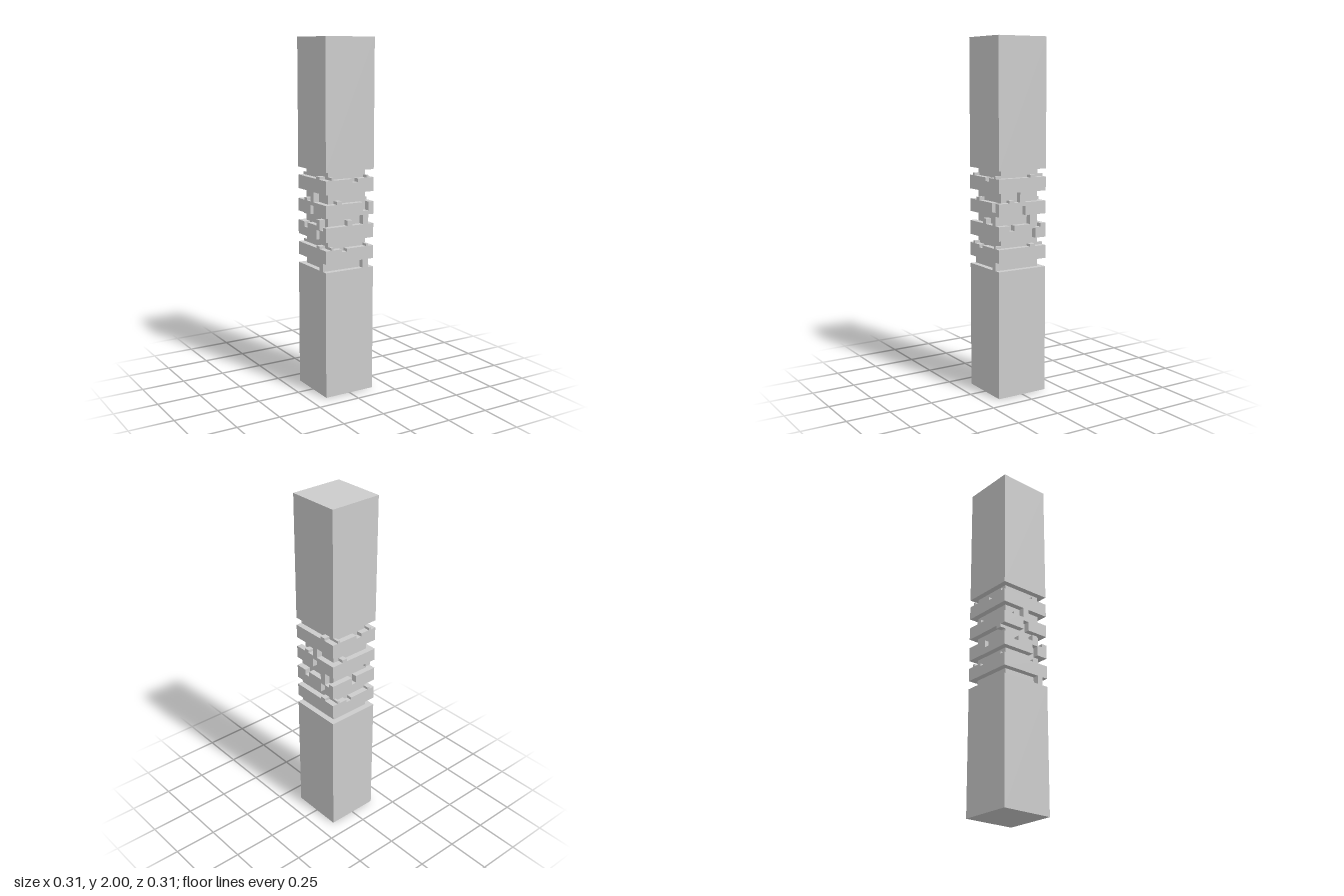
import * as THREE from 'three';

const HALF = 0.154; // outer half width
const CORE = 0.12;  // half width of the recessed core
const material = new THREE.MeshStandardMaterial({ color: 0xcccccc, flatShading: true });

function box(name, x0, x1, y0, y1, z0, z1) {
  const mesh = new THREE.Mesh(new THREE.BoxGeometry(x1 - x0, y1 - y0, z1 - z0), material);
  mesh.position.set((x0 + x1) / 2, (y0 + y1) / 2, (z0 + z1) / 2);
  mesh.name = name;
  return mesh;
}

// Horizontal strip with small notches (down) or tabs (up) along its top edge
function strip(name, x0, x1, y0, y1, steps = []) {
  const s = new THREE.Shape();
  s.moveTo(x0, y0);
  s.lineTo(x1, y0);
  s.lineTo(x1, y1);
  for (const [a, b, h] of [...steps].reverse()) {
    s.lineTo(b, y1);
    s.lineTo(b, h);
    s.lineTo(a, h);
    s.lineTo(a, y1);
  }
  s.lineTo(x0, y1);
  const mesh = new THREE.Mesh(
    new THREE.ExtrudeGeometry(s, { depth: HALF - CORE, bevelEnabled: false }), material);
  mesh.position.z = CORE;
  mesh.name = name;
  return mesh;
}

// Relief of one face: interlocking strips joined by short upright keys
function carvedFace(name, strips, keys) {
  const face = new THREE.Group();
  face.name = name;
  strips.forEach((p) => face.add(strip('carvedStrip', ...p)));
  keys.forEach(([x0, x1, y0, y1]) => face.add(box('uprightKey', x0, x1, y0, y1, CORE, HALF)));
  return face;
}

const broad = [
  [-HALF, HALF, 1.157, 1.235, [[-0.12, -0.105, 1.25], [0.015, 0.05, 1.215], [0.105, 0.12, 1.25]]],
  [-HALF, 0.085, 1.028, 1.1, [[-0.085, -0.053, 1.117]]],
  [-HALF, HALF, 0.895, 0.975, [[-0.016, 0.016, 0.932]]],
  [-HALF, HALF, 0.773, 0.848, [[-0.12, -0.105, 0.862], [-0.053, -0.02, 0.832], [0.105, 0.12, 0.862]]],
];
const split = [
  [-HALF, HALF, 1.157, 1.235, [[0.05, 0.085, 1.25]]],
  [-HALF, -0.016, 1.028, 1.1, [[-0.085, -0.053, 1.115]]],
  [0.02, HALF, 1.028, 1.1],
  [-HALF, 0.05, 0.895, 0.975, [[-0.085, -0.053, 0.945]]],
  [0.085, HALF, 0.895, 0.955],
  [-HALF, HALF, 0.773, 0.848, [[0.05, 0.085, 0.862]]],
];

export function createModel() {
  const model = new THREE.Group();
  model.name = 'carvedPost';

  // Plain shafts and the core between them
  model.add(box('lowerShaft', -HALF, HALF, 0, 0.725, -HALF, HALF));
  model.add(box('upperShaft', -HALF, HALF, 1.28, 2, -HALF, HALF));
  model.add(box('core', -CORE, CORE, 0.725, 1.28, -CORE, CORE));

  // Carved faces, each turned to its side
  const faces = [
    carvedFace('frontCarving', broad, [
      [0.085, 0.12, 0.975, 1.05], [-0.016, 0.016, 0.932, 1.005], [0.085, 0.12, 0.725, 0.8]]),
    carvedFace('leftCarving', split, [
      [-0.016, 0.02, 1.08, 1.157], [0.05, 0.085, 0.95, 1.028]]),
    carvedFace('backCarving', broad, [[0.085, 0.12, 1.01, 1.1]]),
    carvedFace('rightCarving', split, [
      [-0.016, 0.02, 1.08, 1.157], [0.05, 0.085, 0.95, 1.01], [0.085, 0.12, 0.725, 0.8]]),
  ];
  faces.forEach((face, i) => {
    face.rotation.y = (i * Math.PI) / 2;
    model.add(face);
  });
  return model;
}
